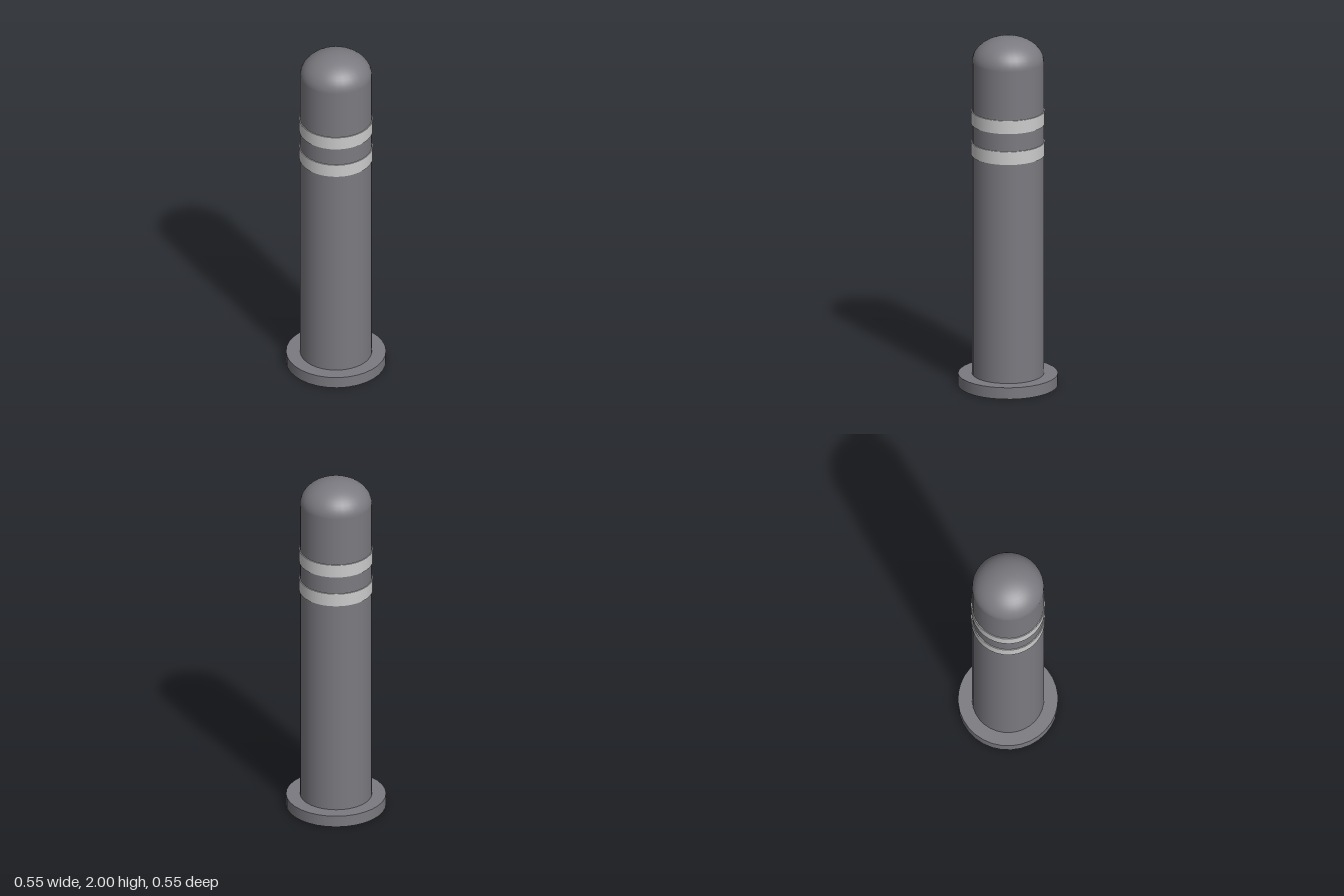
import * as THREE from 'three';

const SIDES = 32;
const POST_R = 0.198;
const BASE_H = 0.066;
const DOME_Y = 1.86;

export function createModel() {
  const model = new THREE.Group();
  model.name = 'bollard';
  const dark = new THREE.MeshStandardMaterial({ color: 0x7b7a80 });
  const light = new THREE.MeshStandardMaterial({ color: 0xcccccc });

  const add = (name, geometry, material, y) => {
    const mesh = new THREE.Mesh(geometry, material);
    mesh.name = name;
    mesh.position.y = y;
    model.add(mesh);
  };

  // Flat foot plate
  add('basePlate', new THREE.CylinderGeometry(0.275, 0.275, BASE_H, SIDES), dark, BASE_H / 2);

  // Straight post
  const postH = DOME_Y - BASE_H;
  add('post', new THREE.CylinderGeometry(POST_R, POST_R, postH, SIDES, 1, true), dark, BASE_H + postH / 2);

  // Flattened dome cap
  const dome = new THREE.SphereGeometry(POST_R, SIDES, 12, 0, Math.PI * 2, 0, Math.PI / 2);
  dome.scale(1, (2 - DOME_Y) / POST_R, 1);
  add('domeCap', dome, dark, DOME_Y);

  // Two slightly raised reflective bands
  [['upperBand', 1.542], ['lowerBand', 1.364]].forEach(([name, y]) => {
    add(name, new THREE.CylinderGeometry(0.203, 0.203, 0.075, SIDES), light, y);
  });

  return model;
}
